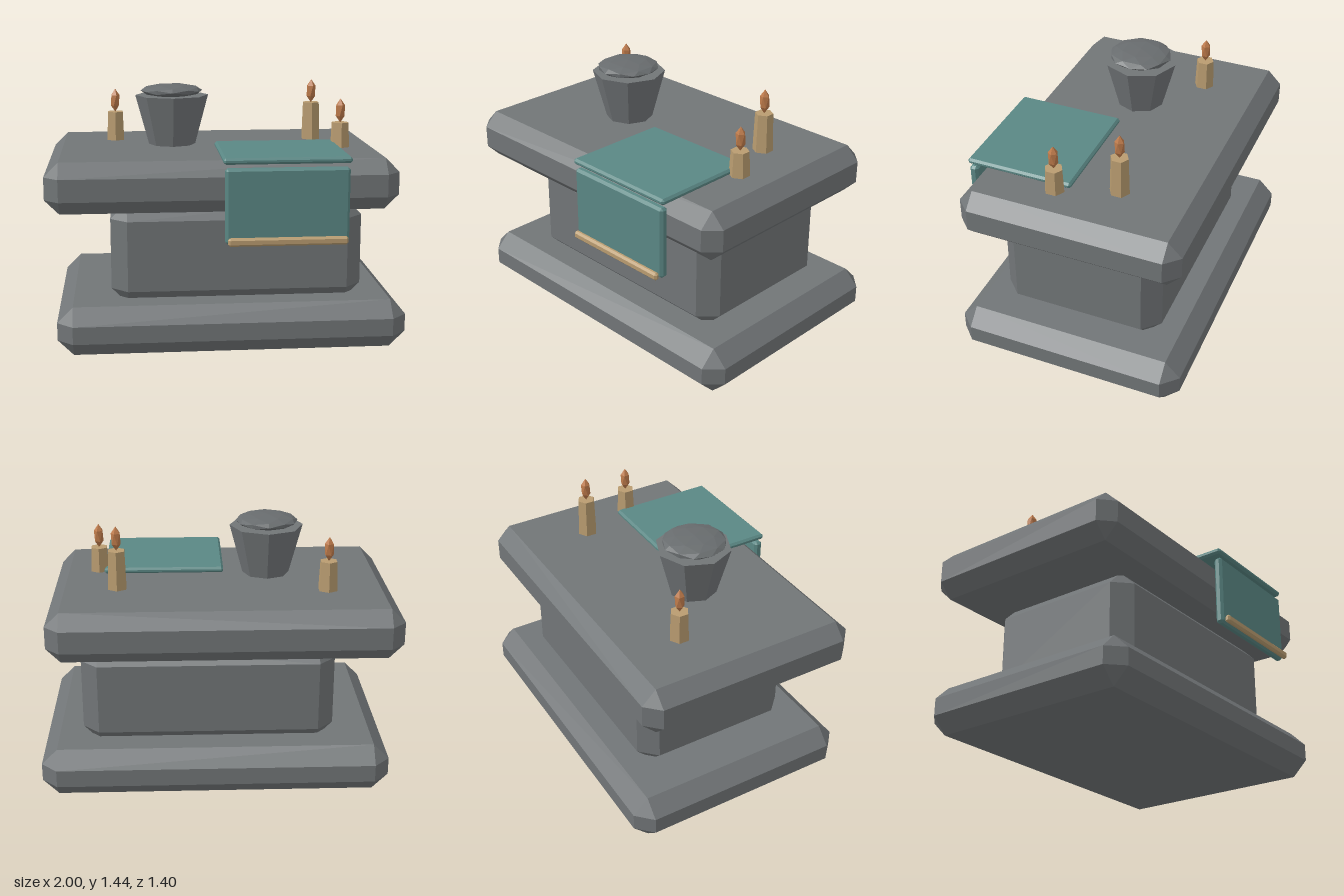
import * as THREE from 'three';
import { ConvexGeometry } from 'three/addons/geometries/ConvexGeometry.js';

const makeMaterial = (name, color) => {
  const m = new THREE.MeshStandardMaterial({ color, flatShading: true });
  m.name = name;
  return m;
};

// Box with every edge cut at 45 degrees and triangular corners
function chamferBox(x, y, z, bevel) {
  const points = [];
  for (const i of [0, 1]) for (const j of [0, 1]) for (const k of [0, 1]) {
    const corner = [x[i], y[j], z[k]];
    const inset = [i, j, k].map((side, n) => corner[n] + (side ? -bevel : bevel));
    for (let n = 0; n < 3; n++) {
      const p = [...inset];
      p[n] = corner[n];
      points.push(new THREE.Vector3(...p));
    }
  }
  return new ConvexGeometry(points);
}

export function createModel() {
  const stone = makeMaterial('stone', 0x717577);
  const ash = makeMaterial('ash', 0x686c6e);
  const cloth = makeMaterial('cloth', 0x5a8784);
  const wax = makeMaterial('wax', 0xb99c70);
  const fire = makeMaterial('fire', 0xbd7a4a);

  const group = new THREE.Group();
  group.name = 'altar';
  const add = (name, geometry, material, x = 0, y = 0, z = 0, parent = group) => {
    const mesh = new THREE.Mesh(geometry, material);
    mesh.name = name;
    mesh.position.set(x, y, z);
    parent.add(mesh);
    return mesh;
  };

  // Stone blocks
  add('base', chamferBox([-0.95, 1], [0, 0.275], [-0.7, 0.63], 0.088), stone);
  add('body', chamferBox([-0.65, 0.775], [0.23, 0.818], [-0.505, 0.44], 0.093), stone);
  add('tableSlab', chamferBox([-1, 0.945], [0.795, 1.08], [-0.67, 0.605], 0.08), stone);

  // Cloth lying on the slab and hanging over the front, with a pale hem
  add('clothTop', chamferBox([-0.04, 0.655], [1.077, 1.112], [0.045, 0.665], 0.012), cloth);
  add('clothDrop', chamferBox([-0.03, 0.645], [0.64, 1.055], [0.615, 0.665], 0.014), cloth);
  add('clothHem', chamferBox([-0.018, 0.635], [0.637, 0.682], [0.667, 0.7], 0.011), wax);

  // Bowl with a flattened mound
  add('bowl', new THREE.CylinderGeometry(0.211, 0.135, 0.285, 8), stone, -0.285, 1.238, 0.015);
  const mound = new THREE.IcosahedronGeometry(1, 1).scale(0.178, 0.037, 0.182);
  add('bowlMound', mound, ash, -0.287, 1.407, 0.018);

  // Candles: a six-sided stick and a faceted flame
  const flame = new THREE.IcosahedronGeometry(1, 0)
    .rotateZ(-Math.atan(2 / (1 + Math.sqrt(5))))
    .scale(0.03, 0.07, 0.03);
  const slabTop = 1.08;
  for (const [name, x, z, height] of [
    ['candleRight', -0.615, -0.27, 0.17],
    ['candleLeftTall', 0.568, -0.205, 0.223],
    ['candleLeftShort', 0.686, 0.122, 0.143],
  ]) {
    const candle = new THREE.Group();
    candle.name = name;
    candle.position.set(x, slabTop, z);
    group.add(candle);
    add('stick', new THREE.CylinderGeometry(0.051, 0.058, height, 6), wax, 0, height / 2, 0, candle);
    add('flame', flame, fire, 0, height + 0.068, 0, candle);
  }
  return group;
}
